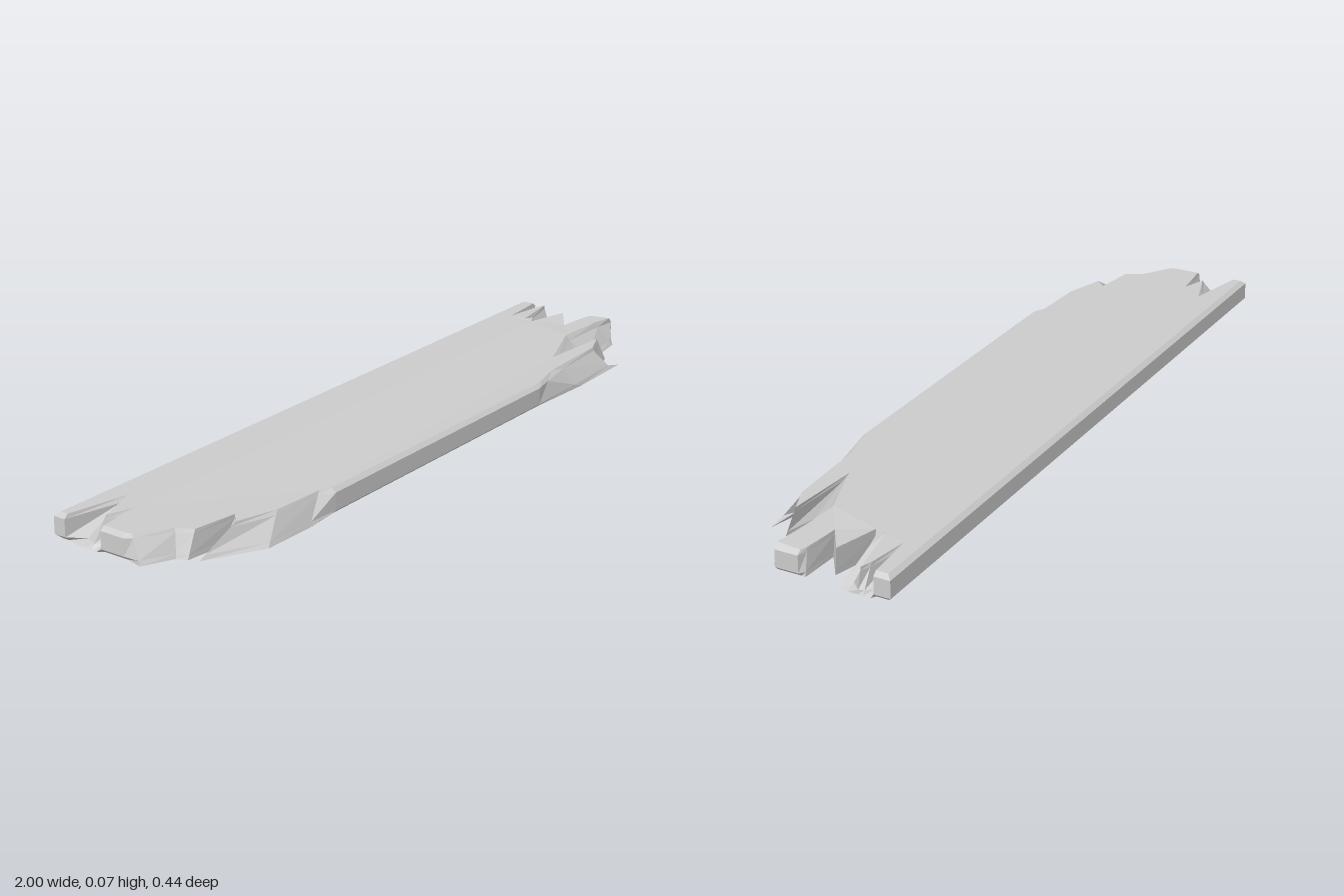
import * as THREE from 'three';

// Rim of the plank, one row per point: bottom x, z, then top x, z.
// Two-number rows are intact edge points, which get a bevel above and below.
const RIM = [
  [-1, -0.222], [1, -0.222],
  // right end: two chips, a notch, a prong
  [1, -0.178], [1, -0.17, 0.85, -0.166], [1, -0.15, 0.96, -0.15],
  [1, -0.135, 0.99, -0.14], [1, -0.11, 0.84, -0.112], [1, -0.085, 0.86, -0.098],
  [0.83, -0.075, 0.83, -0.082], [0.95, -0.045, 0.95, -0.05], [0.88, 0.005, 0.87, 0.005],
  [0.99, 0.01, 0.97, 0.015], [1, 0.022], [1, 0.085],
  // front right: long splinters
  [0.97, 0.11, 0.93, 0.072], [0.83, 0.13, 0.78, 0.066], [0.79, 0.135, 0.61, 0.13],
  [0.85, 0.157, 0.82, 0.145], [0.75, 0.195, 0.75, 0.175], [0.83, 0.213, 0.52, 0.185],
  [0.62, 0.22, 0.43, 0.207], [0.4, 0.222], [-0.5, 0.222],
  // front left: broken corner
  [-0.6, 0.22, -0.53, 0.195], [-0.75, 0.217, -0.68, 0.188], [-0.9, 0.135, -0.79, 0.155],
  [-0.76, 0.125, -0.76, 0.125], [-0.91, 0.11, -0.88, 0.108], [-0.92, 0.083, -0.9, 0.065],
  // left end: two chips
  [-1, 0.045, -0.985, 0.01], [-1, -0.005], [-1, -0.075],
  [-1, -0.09, -0.87, -0.088], [-1, -0.105, -0.94, -0.112],
  [-1, -0.14, -0.82, -0.152], [-1, -0.188],
];
const LEVELS = [[0, 0], [0.011, 0.16], [0.057, 0.84], [0.067, 1]];
const BEVEL = 0.012;

// Position of one rim point on one level
function rimPoint(row, level) {
  const [y, t] = LEVELS[level];
  const [bx, bz, tx = bx, tz = bz] = row;
  let x = bx + (tx - bx) * t;
  let z = bz + (tz - bz) * t;
  if (row.length === 2 && (level === 0 || level === 3)) {
    if (Math.abs(x) > 0.95) x -= Math.sign(x) * BEVEL;
    if (Math.abs(z) > 0.2) z -= Math.sign(z) * BEVEL;
  }
  // worn wood lifts a little near the splintered right end
  const lift = level === 3 && x > 0.5 && Math.abs(Math.abs(z) - 0.09) < 0.04 ? 0.005 : 0;
  return new THREE.Vector3(x, y + lift, z);
}

function plankGeometry() {
  const rings = LEVELS.map((_, k) => RIM.map((row) => rimPoint(row, k)));
  const corners = [];
  // sides
  for (let k = 0; k < 3; k++) {
    for (let i = 0; i < RIM.length; i++) {
      const j = (i + 1) % RIM.length;
      const lo = rings[k], hi = rings[k + 1];
      corners.push(lo[i], hi[i], lo[j], lo[j], hi[i], hi[j]);
    }
  }
  // bottom and top
  for (const [ring, top] of [[rings[0], false], [rings[3], true]]) {
    const outline = ring.map((p) => new THREE.Vector2(p.x, p.z));
    for (const [a, b, c] of THREE.ShapeUtils.triangulateShape(outline, [])) {
      const up = (ring[b].z - ring[a].z) * (ring[c].x - ring[a].x)
        - (ring[b].x - ring[a].x) * (ring[c].z - ring[a].z) > 0;
      corners.push(ring[a], ...(up === top ? [ring[b], ring[c]] : [ring[c], ring[b]]));
    }
  }
  const geometry = new THREE.BufferGeometry().setFromPoints(corners);
  geometry.computeVertexNormals();
  return geometry;
}

export function createModel() {
  const group = new THREE.Group();
  group.name = 'brokenPlank';
  const wood = new THREE.MeshStandardMaterial({ color: 0xcccccc, flatShading: true });
  const plank = new THREE.Mesh(plankGeometry(), wood);
  plank.name = 'plank';
  group.add(plank);
  return group;
}
